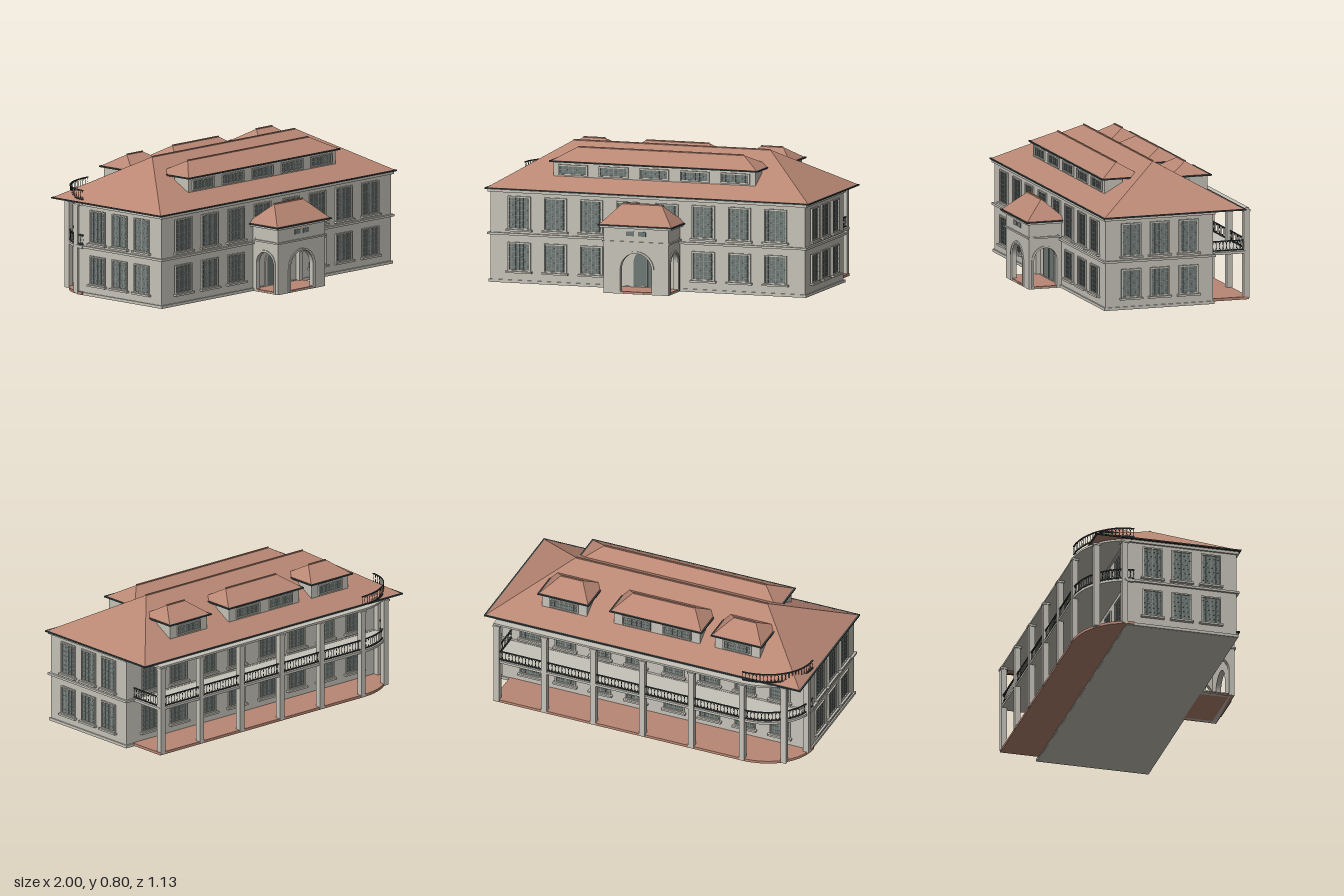
import * as THREE from 'three';
import { mergeGeometries } from 'three/addons/utils/BufferGeometryUtils.js';

const mat = (name, color) => {
  const m = new THREE.MeshStandardMaterial({ color });
  m.name = name;
  return m;
};

export function createModel() {
  const wall = mat('plaster', 0xc6c3b9);
  const tile = mat('terracotta', 0xb98774);
  const dark = mat('darkMetal', 0x3a4141);
  const glass = mat('glass', 0x6f7976);
  const bar = mat('glazingBar', 0x8a918d);
  const root = new THREE.Group();
  root.name = 'villa';

  const add = (parent, name, geo, material) => {
    const m = new THREE.Mesh(geo, material);
    m.name = name;
    parent.add(m);
    return m;
  };
  // box geometry given by its two extreme corners
  const boxGeo = (x0, x1, y0, y1, z0, z1) =>
    new THREE.BoxGeometry(x1 - x0, y1 - y0, z1 - z0).translate((x0 + x1) / 2, (y0 + y1) / 2, (z0 + z1) / 2);
  const box = (name, material, ...b) => add(root, name, boxGeo(...b), material);

  // hipped roof with a dark eave trim
  const hipRoof = (name, x0, x1, z0, z1, y0, y1, r0, r1, rz) => {
    const A = [x0, y0, z1], B = [x1, y0, z1], C = [x1, y0, z0], D = [x0, y0, z0];
    const R = [r0, y1, rz], S = [r1, y1, rz];
    const tris = [A, B, S, A, S, R, B, C, S, C, D, R, C, R, S, D, A, R, A, D, C, A, C, B];
    const g = new THREE.BufferGeometry();
    g.setAttribute('position', new THREE.Float32BufferAttribute(tris.flat(), 3));
    g.computeVertexNormals();
    add(root, name, g, tile);
    const t = 0.005, a = y0 - 0.005, b = y0 + 0.003;
    add(root, name + 'Eave', mergeGeometries([
      boxGeo(x0 - t, x1 + t, a, b, z1 - t, z1 + t), boxGeo(x0 - t, x1 + t, a, b, z0 - t, z0 + t),
      boxGeo(x0 - t, x0 + t, a, b, z0, z1), boxGeo(x1 - t, x1 + t, a, b, z0, z1),
    ]), dark);
    box(name + 'Ridge', tile, r0, r1, y1 - 0.005, y1 + 0.004, rz - 0.004, rz + 0.004);
  };

  // window facing +z, origin at the bottom centre
  const addWindow = (x, y, z, turn, w, h, cols, rows, sill = true) => {
    const g = new THREE.Group();
    g.name = 'window';
    const f = 0.008, hw = w / 2;
    add(g, 'pane', boxGeo(-hw, hw, 0, h, -0.002, 0.003), glass);
    const frame = [boxGeo(-hw, -hw + f, 0, h, 0, 0.01), boxGeo(hw - f, hw, 0, h, 0, 0.01),
      boxGeo(-hw, hw, h - f, h, 0, 0.01), boxGeo(-hw, hw, 0, f, 0, 0.01)];
    if (sill) frame.push(boxGeo(-hw - 0.01, hw + 0.01, -0.01, 0.001, 0, 0.022));
    add(g, 'frame', mergeGeometries(frame), wall);
    const bars = [];
    for (let i = 1; i < cols; i++) {
      const bx = -hw + (w * i) / cols, t = i * 2 === cols ? 0.003 : 0.0013;
      bars.push(boxGeo(bx - t, bx + t, f, h - f, 0.002, 0.006));
    }
    for (let i = 1; i < rows; i++)
      bars.push(boxGeo(-hw + f, hw - f, (h * i) / rows - 0.0013, (h * i) / rows + 0.0013, 0.002, 0.005));
    add(g, 'glazingBars', mergeGeometries(bars), bar);
    g.position.set(x, y, z);
    g.rotation.y = turn;
    root.add(g);
  };

  // main block, plinth, belt course and cornice
  const X = 0.97, Z0 = -0.31, Z1 = 0.35;
  box('walls', wall, -X, X, 0, 0.55, Z0, Z1);
  for (const [name, a, b, o] of [['plinth', 0.001, 0.018, 0.008], ['beltCourse', 0.28, 0.293, 0.014], ['cornice', 0.53, 0.546, 0.012]])
    box(name, wall, -X - o, X + o, a, b, Z0 - o, Z1 + o);
  hipRoof('mainRoof', -0.995, 0.995, -0.5, 0.365, 0.55, 0.793, -0.605, 0.605, -0.07);

  // windows on both floors of all four sides
  for (const [y, h, rows] of [[0.07, 0.17, 6], [0.315, 0.195, 7]]) {
    for (const s of [-1, 1]) {
      for (const x of [0.12, 0.345, 0.567, 0.79]) {
        if (x > 0.2 || y > 0.3) addWindow(s * x, y, Z1, 0, 0.14, h, 6, rows);
        addWindow(s * x, y, Z0, Math.PI, 0.13, h, 4, rows);
      }
      for (const z of [0.194, 0.018, -0.158]) addWindow(s * X, y, z, s * Math.PI / 2, 0.12, h, 4, rows);
    }
  }

  // dormers: eave bounds, ridge, facing side and window centres
  const dormer = (x0, x1, side, r0, r1, windows) => {
    const zc = side > 0 ? 0.123 : -0.263, front = zc + side * 0.112;
    box('dormerWalls', wall, x0 + 0.015, x1 - 0.015, 0.58, 0.71, Math.min(zc, front), Math.max(zc, front));
    hipRoof('dormerRoof', x0, x1, zc - 0.128, zc + 0.128, 0.71, 0.783, r0, r1, zc);
    for (const x of windows) addWindow(x, 0.63, front, side > 0 ? 0 : Math.PI, 0.18, 0.062, 6, 2, false);
  };
  dormer(-0.638, 0.638, 1, -0.51, 0.51, [-0.5, -0.25, 0, 0.25, 0.5]);
  dormer(-0.705, -0.39, -1, -0.615, -0.48, [-0.547]);
  dormer(-0.325, 0.25, -1, -0.23, 0.16, [-0.165, 0.09]);
  dormer(0.39, 0.705, -1, 0.48, 0.615, [0.547]);

  // arch outline from the ground up
  const arch = (path, w, top, base) => {
    path.moveTo(-w, base);
    path.lineTo(-w, top - w);
    path.absarc(0, top - w, w, Math.PI, 0, true);
    path.lineTo(w, base);
    path.closePath();
    return path;
  };
  const archWall = (half, height, w, depth) => {
    const s = new THREE.Shape([[-half, 0], [half, 0], [half, height], [-half, height]].map(p => new THREE.Vector2(...p)));
    s.holes.push(arch(new THREE.Path(), w, 0.24, 0.006));
    return new THREE.ExtrudeGeometry(s, { depth, bevelEnabled: false, curveSegments: 16 });
  };
  const surround = (w) => {
    const s = arch(new THREE.Shape(), w + 0.014, 0.252, 0.004);
    s.holes.push(arch(new THREE.Path(), w, 0.24, 0.005));
    return new THREE.ExtrudeGeometry(s, { depth: 0.008, bevelEnabled: false, curveSegments: 16 });
  };

  // entrance porch
  add(root, 'porchFront', archWall(0.2, 0.4, 0.098, 0.03), wall).position.z = 0.52;
  add(root, 'porchArchTrim', surround(0.098), wall).position.z = 0.549;
  for (const s of [-1, 1]) {
    const side = add(root, 'porchSide', archWall(0.1, 0.4, 0.071, 0.03), wall);
    side.rotation.y = s * Math.PI / 2;
    side.position.set(s * 0.168, 0, 0.448);
    const trim = add(root, 'porchSideTrim', surround(0.071), wall);
    trim.rotation.y = s * Math.PI / 2;
    trim.position.set(s * 0.196, 0, 0.448);
    box('porchVent', glass, s * 0.036 - 0.024, s * 0.036 + 0.024, 0.34, 0.367, 0.546, 0.553);
  }
  box('porchFloor', tile, -0.197, 0.197, -0.0, 0.014, 0.35, 0.549);
  box('porchCeiling', wall, -0.19, 0.19, 0.29, 0.3, 0.35, 0.54);
  box('porchBand', wall, -0.208, 0.208, 0.298, 0.308, 0.35, 0.558);
  box('porchCornice', wall, -0.22, 0.22, 0.384, 0.398, 0.35, 0.567);
  hipRoof('porchRoof', -0.225, 0.225, 0.322, 0.57, 0.4, 0.515, -0.12, 0.12, 0.446);
  add(root, 'doorFrame', surround(0.085), wall).position.z = 0.35;
  const door = new THREE.ExtrudeGeometry(arch(new THREE.Shape(), 0.086, 0.24, 0.014), { depth: 0.004, bevelEnabled: false });
  add(root, 'door', door, glass).position.z = 0.35;
  box('doorSplit', bar, -0.003, 0.003, 0.014, 0.238, 0.353, 0.359);

  // rear veranda outline: straight run ending in a rounded corner
  const xr = 0.92, zb = -0.55, cx = -0.65, cz = -0.27, rx = 0.335;
  const corner = (i, n, inset = 0) => {
    const a = (i / n) * Math.PI / 2;
    return new THREE.Vector2(cx - (rx - inset) * Math.sin(a), cz + (zb - cz + inset) * Math.cos(a));
  };
  const slab = (name, material, y, h) => {
    const pts = [new THREE.Vector2(xr, -0.3), new THREE.Vector2(xr, zb)];
    for (let i = 0; i <= 16; i++) pts.push(corner(i, 16));
    pts.push(new THREE.Vector2(-0.95, cz), new THREE.Vector2(-0.95, -0.3));
    const s = new THREE.Shape(pts.map(p => new THREE.Vector2(p.x, -p.y)));
    const g = new THREE.ExtrudeGeometry(s, { depth: h, bevelEnabled: false }).rotateX(-Math.PI / 2);
    add(root, name, g, material).position.y = y;
  };
  slab('verandaFloor', tile, 0.004, 0.016);
  slab('balconyFloor', wall, 0.276, 0.015);
  slab('verandaCeiling', wall, 0.533, 0.012);

  // veranda posts
  const posts = [0.9, 0.6, 0.29, -0.02, -0.33, -0.65].map(x => [x, -0.537]);
  posts.push([-0.885, -0.472], [-0.965, -0.325]);
  for (const [x, z] of posts) {
    box('verandaPost', wall, x - 0.017, x + 0.017, 0.01, 0.535, z - 0.017, z + 0.017);
    box('postCapital', wall, x - 0.022, x + 0.022, 0.522, 0.534, z - 0.022, z + 0.022);
  }

  // iron railings: two rails with oval rings between them
  const railing = (name, points, y0, y1) => {
    const path = new THREE.CurvePath();
    for (let i = 1; i < points.length; i++)
      path.add(new THREE.LineCurve3(...[points[i - 1], points[i]].map(p => new THREE.Vector3(p.x, 0, p.y))));
    const parts = [], up = new THREE.Vector3(0, 1, 0);
    for (const c of path.curves) {
      const d = c.v2.clone().sub(c.v1), mid = c.v1.clone().add(c.v2).multiplyScalar(0.5);
      for (const y of [y0, y1])
        parts.push(new THREE.BoxGeometry(d.length() + 0.003, 0.006, 0.007)
          .rotateY(Math.atan2(-d.z, d.x)).translate(mid.x, y, mid.z));
    }
    const n = Math.round(path.getLength() / 0.021);
    for (let i = 0; i < n; i++) {
      const p = path.getPointAt((i + 0.5) / n), t = path.getTangentAt((i + 0.5) / n);
      parts.push(new THREE.TorusGeometry(0.5, 0.065, 4, 12).scale(0.021, y1 - y0, 0.02)
        .applyAxisAngle?.(up, 0) ?? new THREE.TorusGeometry(0.5, 0.065, 4, 12).scale(0.021, y1 - y0, 0.02)
        .rotateY(Math.atan2(-t.z, t.x)).translate(p.x, (y0 + y1) / 2, p.z));
    }
    add(root, name, mergeGeometries(parts), dark);
  };
  const curve = Array.from({ length: 13 }, (_, i) => corner(i, 12, 0.008));
  const start = [new THREE.Vector2(xr - 0.01, Z0), new THREE.Vector2(xr - 0.01, zb + 0.008)];
  railing('balconyRailing', [...start, ...curve], 0.299, 0.354);
  railing('cornerRailing', curve, 0.566, 0.618);
  return root;
}
